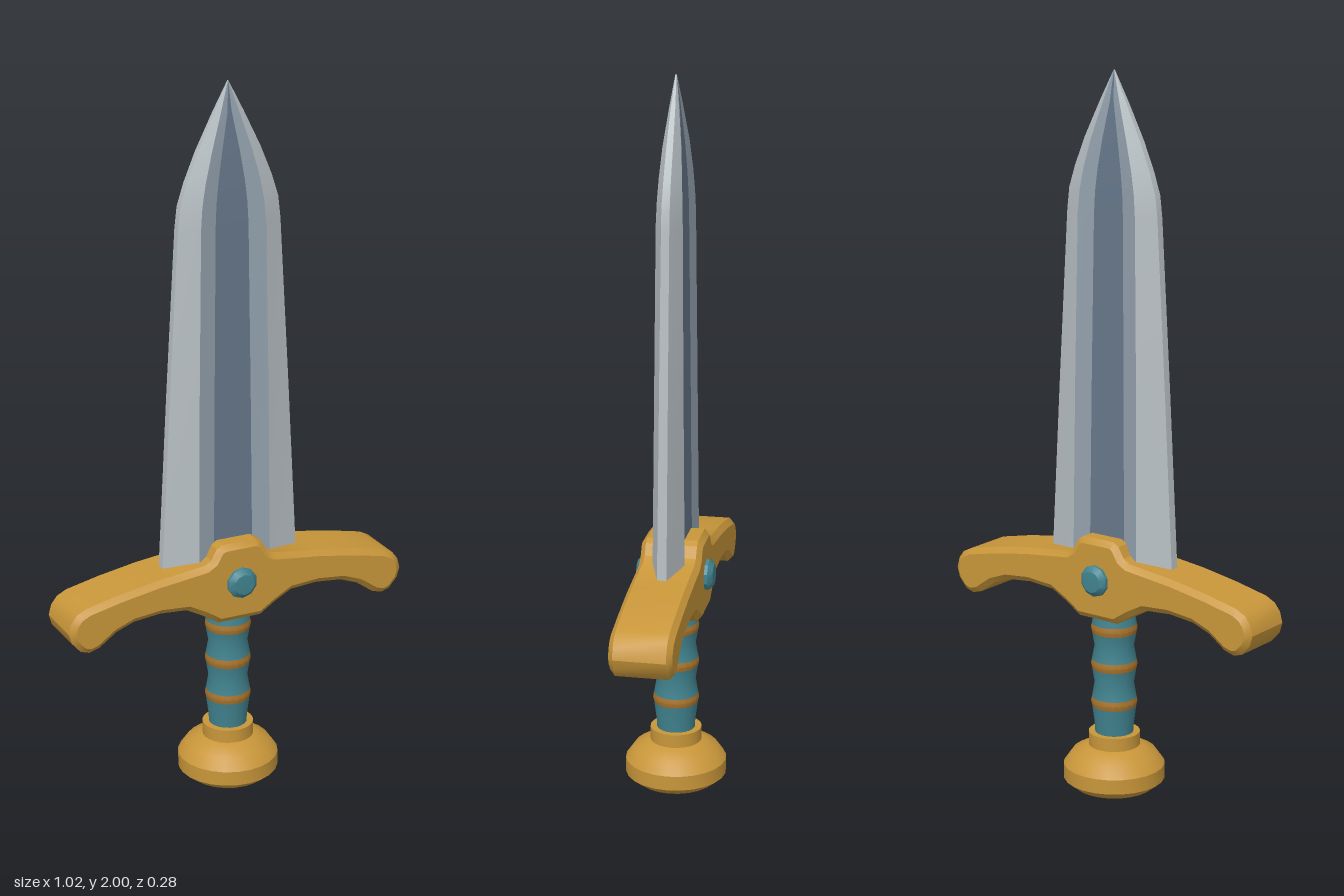
import * as THREE from 'three';
import { toCreasedNormals } from 'three/addons/utils/BufferGeometryUtils.js';

const paint = (name, color) => {
  const m = new THREE.MeshStandardMaterial({ color });
  m.name = name;
  return m;
};

export function createModel() {
  const gold = paint('gold', 0xc8963a);
  const bronze = paint('bronze', 0xa8742c);
  const teal = paint('teal', 0x41838f);
  const steel = paint('steel', 0xb8c0c4);
  const midSteel = paint('midSteel', 0x92a0ac);
  const darkSteel = paint('darkSteel', 0x66778a);

  const sword = new THREE.Group();
  sword.name = 'sword';
  const add = (name, geometry, material, parent = sword) => {
    const mesh = new THREE.Mesh(geometry, material);
    mesh.name = name;
    parent.add(mesh);
    return mesh;
  };
  const lathe = (points, sides = 20) => toCreasedNormals(
    new THREE.LatheGeometry(points.map(([r, y]) => new THREE.Vector2(r, y)), sides), 0.5);

  // Blade rows: y, then half-width of edge, ridge, fuller; half-thickness of edge, ridge, fuller
  const rows = [
    [0.62, 0.207, 0.108, 0.059, 0.013, 0.045, 0.034],
    [1.15, 0.178, 0.103, 0.054, 0.012, 0.040, 0.030],
    [1.62, 0.150, 0.095, 0.048, 0.011, 0.036, 0.026],
    [1.68, 0.143, 0.090, 0.045, 0.011, 0.034, 0.025],
    [1.74, 0.124, 0.079, 0.038, 0.010, 0.031, 0.023],
    [1.82, 0.091, 0.058, 0.025, 0.009, 0.025, 0.019],
    [1.92, 0.042, 0.026, 0.006, 0.006, 0.013, 0.011],
    [2.00, 0.001, 0.0006, 0.0002, 0.001, 0.002, 0.0015],
  ];
  const section = ([y, e, r, f, ze, zr, zf]) => {
    const half = [[-e, ze], [-r, zr], [-f, zf], [f, zf], [r, zr], [e, ze]];
    return [...half, ...half.map(([x, z]) => [-x, -z])].map(([x, z]) => [x, y, z]);
  };
  const blade = new THREE.Group();
  blade.name = 'blade';
  sword.add(blade);
  const rings = rows.map(section);
  const faces = [
    ['bevel', steel], ['fullerSlope', midSteel], ['fullerFloor', darkSteel],
    ['fullerSlope', midSteel], ['bevel', steel], ['cuttingEdge', steel],
  ];
  for (let i = 0; i < 12; i++) {
    const positions = rings.flatMap(ring => [...ring[i], ...ring[(i + 1) % 12]]);
    const index = [];
    for (let j = 0; j < rows.length - 1; j++) {
      const a = j * 2;
      index.push(a, a + 1, a + 3, a, a + 3, a + 2);
    }
    const g = new THREE.BufferGeometry();
    g.setAttribute('position', new THREE.Float32BufferAttribute(positions, 3));
    g.setIndex(index);
    g.computeVertexNormals();
    add(faces[i % 6][0], g, faces[i % 6][1], blade);
  }

  // Crossguard: mirrored outline with bevelled rims
  const right = [
    [0.065, 0.505], [0.11, 0.535], [0.16, 0.562], [0.24, 0.568], [0.317, 0.56], [0.37, 0.54],
    [0.42, 0.504], [0.45, 0.495], [0.475, 0.503], [0.50, 0.532], [0.508, 0.56], [0.50, 0.59],
    [0.483, 0.612], [0.455, 0.626], [0.36, 0.647], [0.25, 0.666], [0.105, 0.683],
    [0.085, 0.695], [0.068, 0.725], [0.05, 0.735],
  ];
  const outline = [...right, ...right.map(([x, y]) => [-x, y]).reverse()];
  const guardShape = new THREE.Shape(outline.map(([x, y]) => new THREE.Vector2(x, y)));
  const guard = new THREE.ExtrudeGeometry(guardShape, {
    depth: 0.142, bevelEnabled: true, bevelSegments: 1,
    bevelSize: 0.016, bevelThickness: 0.014, bevelOffset: -0.016,
  });
  guard.translate(0, 0, -0.071);
  add('crossguard', toCreasedNormals(guard, 0.5), gold);

  // Gems on both faces of the guard
  for (const side of [1, -1]) {
    const gem = add(side > 0 ? 'frontGem' : 'backGem',
      lathe([[0.044, 0], [0.044, 0.014], [0.03, 0.027], [0, 0.029]], 10), teal);
    gem.rotation.x = side * Math.PI / 2;
    gem.position.set(0, 0.62, side * 0.08);
  }

  // Grip: waisted teal sections between bronze bands
  const bands = [0.25, 0.36, 0.465];
  const stops = [0.13, ...bands, 0.57];
  for (let i = 0; i < stops.length - 1; i++) {
    const lo = stops[i] + (i > 0 ? 0.013 : 0);
    const hi = stops[i + 1] - (i < 3 ? 0.013 : 0);
    add('gripSection', lathe([
      [i > 0 ? 0.062 : 0.052, lo], [0.055, (lo + hi) / 2], [i < 3 ? 0.062 : 0.055, hi],
    ]), teal);
  }
  for (const y of bands) {
    add('gripBand', lathe([
      [0.05, y - 0.013], [0.062, y - 0.013], [0.065, y], [0.062, y + 0.013], [0.05, y + 0.013],
    ]), bronze);
  }

  // Pommel with collar
  add('pommel', lathe([
    [0, 0], [0.112, 0], [0.142, 0.024], [0.142, 0.066], [0.118, 0.1], [0.084, 0.118],
    [0.072, 0.122], [0.072, 0.16], [0, 0.16],
  ], 24), gold);

  return sword;
}
